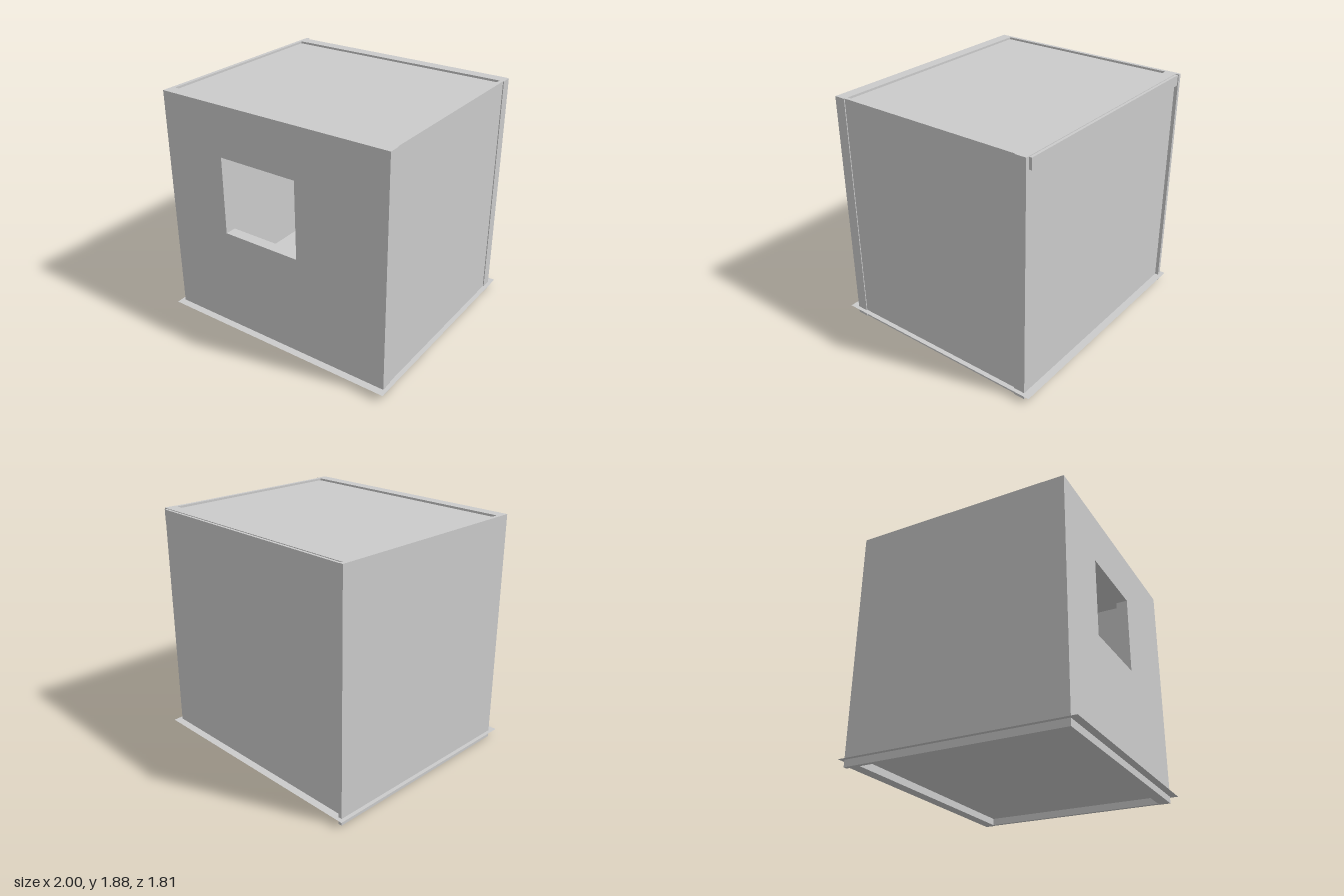
import * as THREE from 'three';

const H = 1.88;
const material = new THREE.MeshStandardMaterial({ color: 0xcccccc });
const sheetMaterial = new THREE.MeshStandardMaterial({ color: 0xcccccc, side: THREE.DoubleSide });

// Box given by its limits on each axis
function block(name, [x0, x1], [y0, y1], [z0, z1]) {
  const mesh = new THREE.Mesh(new THREE.BoxGeometry(x1 - x0, y1 - y0, z1 - z0), material);
  mesh.position.set((x0 + x1) / 2, (y0 + y1) / 2, (z0 + z1) / 2);
  mesh.name = name;
  return mesh;
}

// Thin horizontal sheet seen from both sides
function sheet(name, [x0, x1], y, [z0, z1]) {
  const geometry = new THREE.PlaneGeometry(x1 - x0, z1 - z0).rotateX(-Math.PI / 2);
  const mesh = new THREE.Mesh(geometry, sheetMaterial);
  mesh.position.set((x0 + x1) / 2, y, (z0 + z1) / 2);
  mesh.name = name;
  return mesh;
}

function rectangle(path, x0, y0, x1, y1) {
  path.moveTo(x0, y0);
  path.lineTo(x1, y0);
  path.lineTo(x1, y1);
  path.lineTo(x0, y1);
  path.closePath();
  return path;
}

// Front wall with a square window opening
function frontWall() {
  const shape = rectangle(new THREE.Shape(), -0.97, 0, 0.97, H);
  shape.holes.push(rectangle(new THREE.Path(), -0.44, 0.86, 0.22, 1.48));
  const geometry = new THREE.ExtrudeGeometry(shape, { depth: 0.09, bevelEnabled: false });
  const mesh = new THREE.Mesh(geometry, material);
  mesh.position.z = 0.757;
  mesh.name = 'frontWall';
  return mesh;
}

export function createModel() {
  const room = new THREE.Group();
  room.name = 'room';
  room.add(
    frontWall(),
    block('backWall', [-0.94, 0.97], [0, H], [-0.845, -0.757]),
    // The right wall runs on past the back wall as a narrow post
    block('rightWall', [-0.97, -0.94], [0, H], [-0.873, 0.757]),
    block('leftWall', [0.935, 0.963], [0, H], [-0.757, 0.757]),
    // Beam along the top of the back wall
    block('backBeam', [-0.94, 0.94], [1.79, 1.875], [-0.866, -0.845]),
    // Floor sheet reaches out beyond the walls; ceiling sits just below their tops
    sheet('floor', [-1, 1], 0.055, [-0.905, 0.905]),
    sheet('ceiling', [-0.94, 0.935], 1.863, [-0.757, 0.757])
  );
  return room;
}
